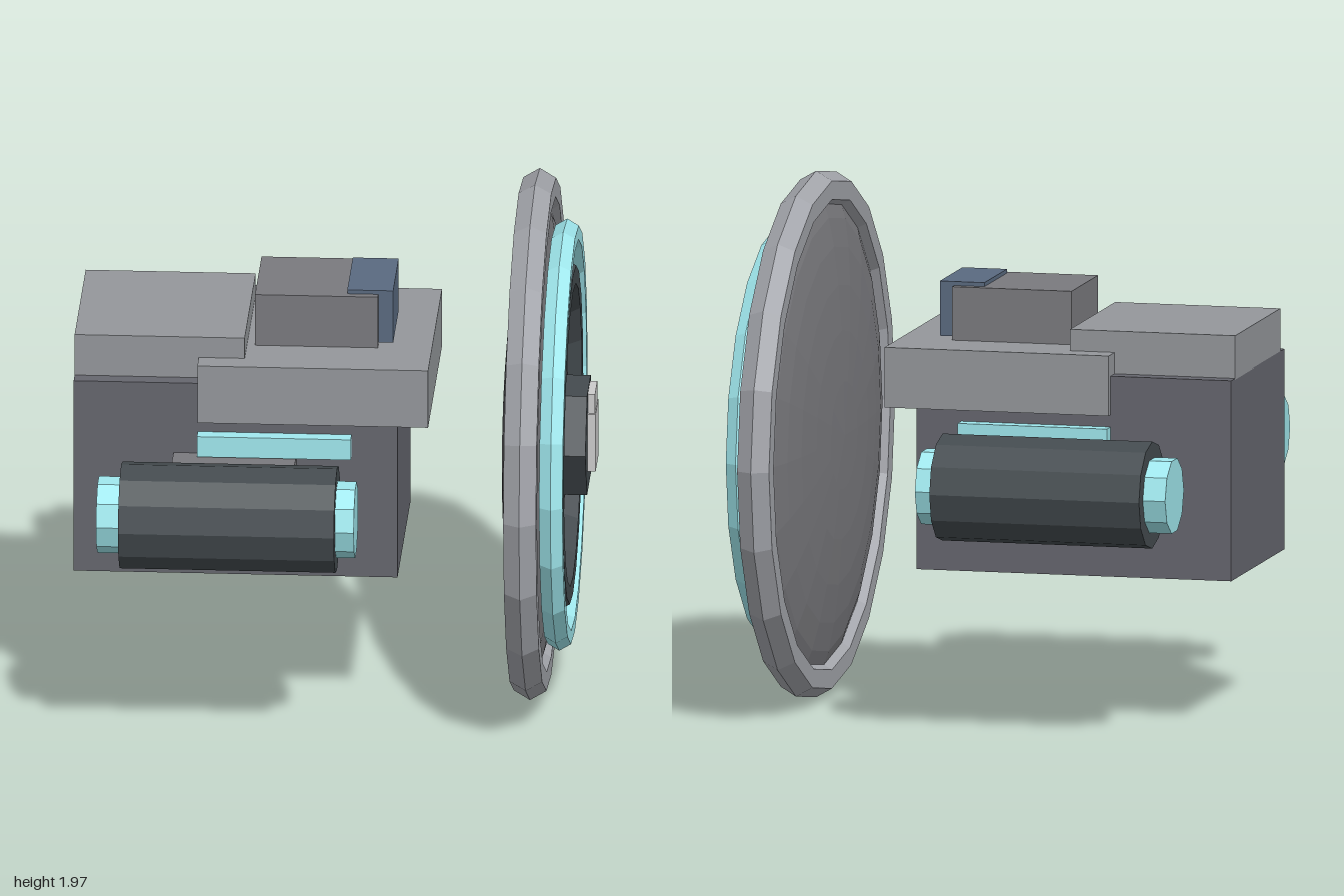
import * as THREE from 'three';

const mat = (color) => new THREE.MeshStandardMaterial({ color, flatShading: true });

export function createModel() {
  const model = new THREE.Group();
  const hullGrey = mat(0x65666e), deckGrey = mat(0x94979b), midGrey = mat(0x7a7a7e);
  const rimGrey = mat(0xa2a4aa), dark = mat(0x444b4f), glow = mat(0xa0e8ee);
  const glass = mat(0x5a6a80), pale = mat(0xbcbcbc);

  const add = (name, geometry, material) => {
    const mesh = new THREE.Mesh(geometry, material);
    mesh.name = name;
    model.add(mesh);
    return mesh;
  };
  // box given by its limits on each axis
  const box = (name, material, [x0, x1], [y0, y1], [z0, z1]) =>
    add(name, new THREE.BoxGeometry(x1 - x0, y1 - y0, z1 - z0), material)
      .position.set((x0 + x1) / 2, (y0 + y1) / 2, (z0 + z1) / 2);
  // cylinder lying along x
  const rod = (name, material, radius, sides, x0, x1, y, z) =>
    add(name, new THREE.CylinderGeometry(radius, radius, x1 - x0, sides).rotateZ(Math.PI / 2), material)
      .position.set((x0 + x1) / 2, y, z);

  // hull and superstructure
  box('hull', hullGrey, [-0.96, 0.24], [0.56, 1.31], [-0.4, 0.4]);
  box('rearBlock', deckGrey, [-0.96, -0.33], [1.305, 1.47], [-0.34, 0.34]);
  box('upperDeck', deckGrey, [-0.5, 0.355], [1.165, 1.39], [-0.43, 0.43]);
  box('cabin', midGrey, [-0.3, 0.155], [1.385, 1.59], [-0.2, 0.2]);
  box('cabinWindow', glass, [0.04, 0.21], [1.4, 1.605], [-0.17, 0.17]);

  // engine pods, pylons and light strips on both sides
  for (const s of [-1, 1]) {
    const span = (a, b) => (s > 0 ? [a, b] : [-b, -a]);
    box('lightStrip', glow, [-0.5, 0.07], [1.04, 1.12], span(0.38, 0.455));
    box('pylon', midGrey, [-0.59, -0.135], [0.835, 1.035], span(0.38, 0.64));
    rod('enginePod', dark, 0.2, 12, -0.76, 0.04, 0.935, 0.8 * s);
    rod('rearEngineCap', glow, 0.142, 10, -0.845, -0.75, 0.935, 0.8 * s);
    rod('frontEngineCap', glow, 0.142, 10, 0.03, 0.11, 0.935, 0.8 * s);
  }

  // dish: flattened sphere with three hexagonal-section rings
  const cy = 0.987;
  add('dish', new THREE.SphereGeometry(0.9, 20, 14).scale(1, 0.11 / 0.9, 1).rotateZ(Math.PI / 2), midGrey)
    .position.set(0.725, cy, 0);
  const rings = [
    ['outerRim', rimGrey, 0.915, 0.07, 0.725],
    ['glowRing', glow, 0.75, 0.05, 0.83],
    ['innerRing', dark, 0.595, 0.065, 0.81],
  ];
  for (const [name, material, radius, tube, x] of rings) {
    add(name, new THREE.TorusGeometry(radius, tube, 6, 20).rotateY(Math.PI / 2), material)
      .position.set(x, cy, 0);
  }

  // hub and emitter in the middle of the dish
  rod('hub', dark, 0.225, 6, 0.8, 0.925, cy, 0);
  box('emitter', pale, [0.9, 0.955], [0.875, 1.1], [-0.083, 0.083]);
  box('emitterTip', pale, [0.9, 0.952], [1.1, 1.175], [-0.07, 0.07]);

  return model;
}
